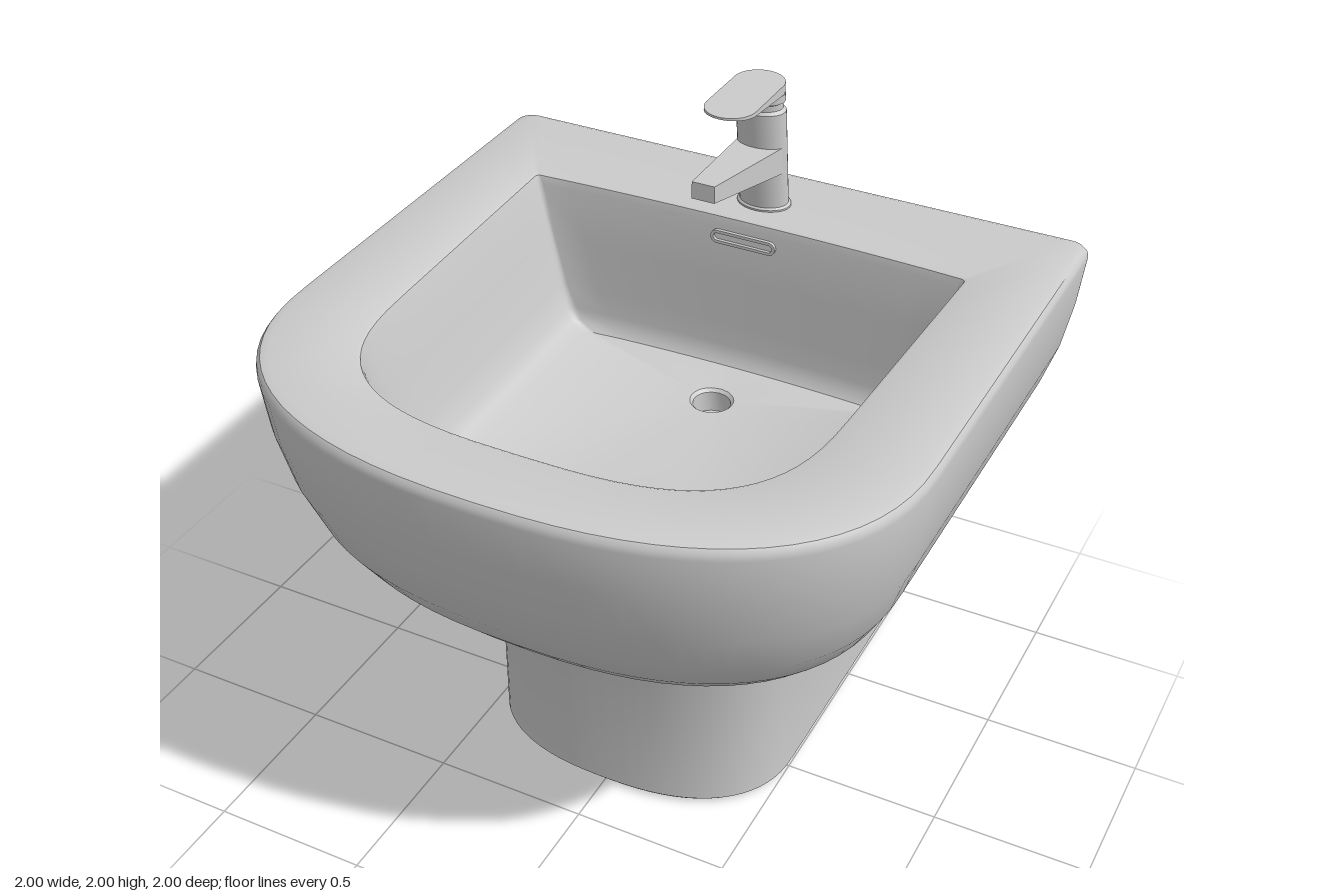
import * as THREE from 'three';
import { toCreasedNormals } from 'three/addons/utils/BufferGeometryUtils.js';

const grey = new THREE.MeshStandardMaterial({ color: 0xcccccc });

function add(parent, name, geometry) {
  const mesh = new THREE.Mesh(geometry, grey);
  mesh.name = name;
  parent.add(mesh);
  return mesh;
}

// D-shaped outline: straight back with corner radius r, straight sides up to z0,
// superelliptic front of power n; taper narrows the front, bow bulges the back.
function outline({ w, zb, zf, z0, r = 0.03, n = 2.4, taper = 0, bow = 0 }) {
  const half = [];
  for (let i = 0; i < 6; i++) {
    const x = (w - r) * i / 6;
    half.push([x, zb - bow * (1 - (x / w) ** 2)]);
  }
  for (let i = 0; i <= 5; i++) {
    const a = (i / 5) * Math.PI / 2;
    half.push([w - r + r * Math.sin(a), zb + r - r * Math.cos(a)]);
  }
  for (let i = 1; i < 6; i++) half.push([w, zb + r + (z0 - zb - r) * i / 6]);
  for (let i = 0; i <= 18; i++) {
    const a = (i / 18) * Math.PI / 2;
    half.push([w * Math.max(0, Math.cos(a)) ** (2 / n), z0 + (zf - z0) * Math.sin(a) ** (2 / n)]);
  }
  half.forEach(p => { p[0] *= 1 - taper * (p[1] - zb) / (zf - zb); });
  const mirrored = half.slice(1, -1).reverse().map(([x, z]) => [-x, z]);
  return half.concat(mirrored);
}

// Same point order, drawn onto a circle around (0, cz)
function circle(points, cz, r) {
  return points.map(([x, z]) => {
    const d = Math.hypot(x, z - cz);
    return [x * r / d, cz + (z - cz) * r / d];
  });
}

// Skin through a list of { y, pts } rings
function loft(rings) {
  const pos = [], index = [], m = rings[0].pts.length;
  rings.forEach(({ y, pts }) => pts.forEach(([x, z]) => pos.push(x, y, z)));
  for (let i = 0; i < rings.length - 1; i++) {
    for (let j = 0; j < m; j++) {
      const k = (j + 1) % m;
      const a = i * m + j, b = i * m + k, c = a + m, d = b + m;
      index.push(a, c, d, a, d, b);
    }
  }
  const g = new THREE.BufferGeometry();
  g.setAttribute('position', new THREE.Float32BufferAttribute(pos, 3));
  g.setIndex(index);
  return toCreasedNormals(g, 0.6);
}

function basinGeometry() {
  // y, half width, back z, front z, start of front curve, corner radius
  const outer = [
    [0, 0.485, -0.96, 0.32, -0.03, 0.02], [0.015, 0.5, -0.97, 0.333, -0.03, 0.02],
    [0.67, 0.5, -0.97, 0.343, -0.03, 0.02], [0.685, 0.505, -0.972, 0.35, -0.03, 0.03],
    [0.7, 0.53, -0.98, 0.39, -0.01, 0.04], [0.73, 0.59, -0.992, 0.47, 0.02, 0.05],
    [0.77, 0.67, -1, 0.57, 0.07, 0.05], [0.82, 0.745, -1, 0.67, 0.12, 0.05],
    [0.88, 0.805, -1, 0.755, 0.16, 0.05], [0.95, 0.855, -1, 0.82, 0.2, 0.05],
    [1.05, 0.905, -1, 0.885, 0.24, 0.05], [1.2, 0.953, -1, 0.94, 0.28, 0.05],
    [1.36, 0.983, -1, 0.978, 0.3, 0.05], [1.52, 1, -1, 1, 0.3, 0.05],
    [1.54, 0.998, -0.998, 0.998, 0.3, 0.05], [1.553, 0.988, -0.99, 0.988, 0.3, 0.05],
    [1.56, 0.965, -0.97, 0.965, 0.3, 0.05],
  ];
  const inner = [
    [1.56, 0.74, -0.625, 0.77, 0.2, 0.015], [1.555, 0.73, -0.615, 0.76, 0.2, 0.015],
    [1.53, 0.722, -0.61, 0.752, 0.2, 0.015], [1.35, 0.68, -0.606, 0.725, 0.19, 0.02],
    [1.18, 0.64, -0.602, 0.695, 0.18, 0.03], [1.1, 0.615, -0.6, 0.67, 0.17, 0.03],
    [1.06, 0.59, -0.595, 0.635, 0.15, 0.03], [1.035, 0.54, -0.58, 0.58, 0.12, 0.03],
  ];
  const ring = extra => ([y, w, zb, zf, z0, r]) => ({ y, pts: outline({ w, zb, zf, z0, r, ...extra }) });
  const rings = [...outer.map(ring({})), ...inner.map(ring({ n: 3, taper: 0.06, bow: 0.02 }))];
  // closed underside, and floor running down into the drain hole
  rings.unshift({ y: 0, pts: circle(rings[0].pts, -0.3, 0.001) });
  const floor = rings[rings.length - 1].pts;
  [[1.02, 0.07], [1.01, 0.06], [0.94, 0.06], [0.94, 0.001]].forEach(([y, r]) =>
    rings.push({ y, pts: circle(floor, -0.42, r) }));
  return loft(rings);
}

// Stadium path of total width w and height h centred on (0, cy)
function stadium(P, w, h, cy = 0) {
  const p = new P(), r = Math.min(w, h) / 2, dx = w / 2 - r, dy = h / 2 - r;
  if (w > h) {
    p.absarc(dx, cy, r, -Math.PI / 2, Math.PI / 2);
    p.absarc(-dx, cy, r, Math.PI / 2, Math.PI * 1.5);
  } else {
    p.absarc(0, cy + dy, r, 0, Math.PI);
    p.absarc(0, cy - dy, r, Math.PI, Math.PI * 2);
  }
  p.closePath();
  return p;
}

function createTap() {
  const tap = new THREE.Group();
  tap.name = 'tap';

  // Leaning oval body with foot flange and a narrow neck below the cap
  const profile = [[0, -0.02], [0.088, -0.02], [0.088, 0.006], [0.08, 0.012], [0.08, 0.345],
    [0.07, 0.355], [0.07, 0.375], [0.078, 0.38], [0.078, 0.405], [0, 0.405]]
    .map(([x, y]) => new THREE.Vector2(x, y));
  const body = new THREE.LatheGeometry(profile, 32);
  body.scale(1, 1, 0.78);
  const p = body.attributes.position;
  for (let i = 0; i < p.count; i++) p.setZ(i, p.getZ(i) + p.getY(i) * 0.14);
  body.translate(0, 1.56, -0.777);
  add(tap, 'tapBody', toCreasedNormals(body, 0.6));

  // Tapering spout
  const spout = new THREE.BoxGeometry(1, 1, 1);
  const s = spout.attributes.position;
  for (let i = 0; i < s.count; i++) {
    const tip = s.getZ(i) > 0, top = s.getY(i) > 0;
    s.setXYZ(i, Math.sign(s.getX(i)) * (tip ? 0.037 : 0.077),
      tip ? (top ? 1.83 : 1.775) : (top ? 1.783 : 1.693), tip ? -0.33 : -0.74);
  }
  add(tap, 'spout', toCreasedNormals(spout, 0.5));

  // Flat lever, thicker over the body
  const lever = new THREE.ExtrudeGeometry(stadium(THREE.Shape, 0.16, 0.355),
    { depth: 1, bevelEnabled: false, curveSegments: 16 });
  lever.rotateX(-Math.PI / 2);
  lever.translate(0, 0, -0.608);
  const l = lever.attributes.position;
  for (let i = 0; i < l.count; i++) {
    const u = THREE.MathUtils.clamp((-0.43 - l.getZ(i)) / 0.35, 0, 1);
    l.setY(i, l.getY(i) > 0.5 ? 2 : 1.993 - 0.03 * u);
  }
  add(tap, 'lever', toCreasedNormals(lever, 0.6));
  return tap;
}

export function createModel() {
  const model = new THREE.Group();
  model.name = 'pedestalBasin';
  add(model, 'basinAndPedestal', basinGeometry());

  // Overflow slot on the back wall of the bowl
  const slot = stadium(THREE.Shape, 0.22, 0.045);
  slot.holes.push(stadium(THREE.Path, 0.2, 0.025));
  const rim = new THREE.ExtrudeGeometry(slot, { depth: 0.025, bevelEnabled: false, curveSegments: 8 });
  add(model, 'overflowSlot', toCreasedNormals(rim, 0.6)).position.set(0, 1.49, -0.643);

  model.add(createTap());
  return model;
}
